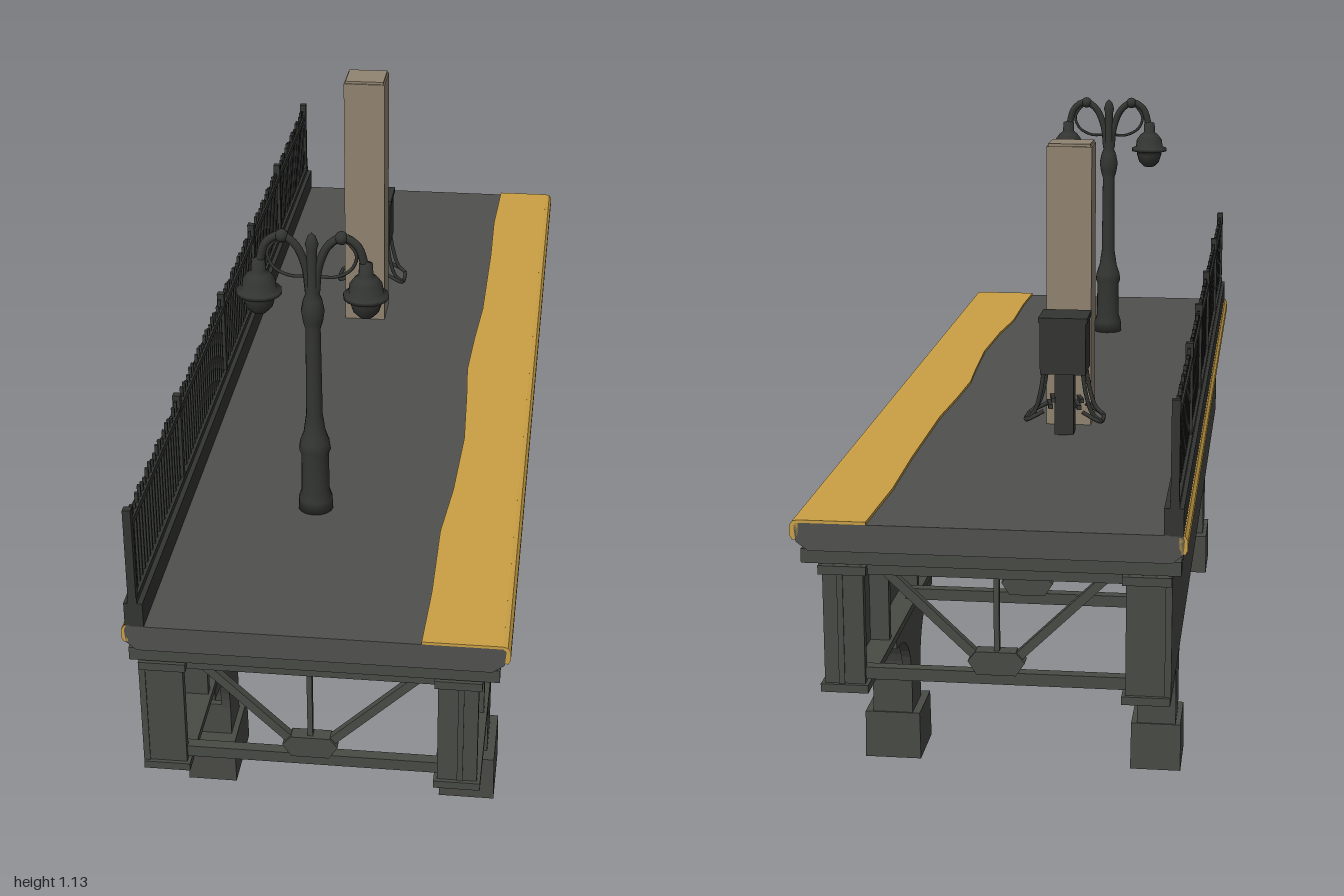
import * as THREE from 'three';

const mat = (name, color) => Object.assign(new THREE.MeshStandardMaterial({ color }), { name });
const V = (x, y, z) => new THREE.Vector3(x, y, z);

export function createModel() {
  const model = new THREE.Group();
  model.name = 'elevatedPlatform';
  const deckGrey = mat('deck grey', 0x50504e);
  const steel = mat('steel', 0x484a44);
  const iron = mat('dark iron', 0x333532);
  const yellow = mat('edge yellow', 0xcba045);
  const stone = mat('tan stone', 0x918471);

  const group = (name, parent = model) => {
    const g = new THREE.Group();
    g.name = name;
    parent.add(g);
    return g;
  };
  const add = (parent, name, geo, m) => {
    const mesh = new THREE.Mesh(geo, m);
    mesh.name = name;
    parent.add(mesh);
    return mesh;
  };
  // box from its minimum and maximum on each axis
  const box = (parent, name, m, x0, x1, y0, y1, z0, z1) => {
    const mesh = add(parent, name, new THREE.BoxGeometry(x1 - x0, y1 - y0, z1 - z0), m);
    mesh.position.set((x0 + x1) / 2, (y0 + y1) / 2, (z0 + z1) / 2);
    return mesh;
  };
  const extrude = (shape, depth) => new THREE.ExtrudeGeometry(shape, { depth, bevelEnabled: false, curveSegments: 10 });
  const poly = pts => new THREE.Shape(pts.map(p => new THREE.Vector2(...p)));
  const tube = (parent, name, pts, r, m, seg = 14) =>
    add(parent, name, new THREE.TubeGeometry(new THREE.CatmullRomCurve3(pts), seg, r, 8), m);
  // square bar between two points
  const bar = (parent, name, a, b, w, m) => {
    const mesh = add(parent, name, new THREE.BoxGeometry(w, w, a.distanceTo(b)), m);
    mesh.position.copy(a).add(b).multiplyScalar(0.5);
    mesh.lookAt(b);
    return mesh;
  };
  // shape drawn in z and y, given a thickness along x
  const sidePlate = (parent, name, shape, x0, x1, m) => {
    const geo = extrude(shape, x1 - x0).rotateY(-Math.PI / 2).translate(x1, 0, 0);
    return add(parent, name, geo, m);
  };

  // Deck slab with softened edges
  const deck = group('deck');
  add(deck, 'slab', extrude(poly([[-0.3, 0.53], [0.295, 0.53], [0.315, 0.545], [0.318, 0.572], [0.312, 0.577],
    [-0.316, 0.577], [-0.32, 0.57], [-0.318, 0.545]]), 2).translate(0, 0, -1), deckGrey);

  // Worn yellow warning strip with an uneven inner edge
  const inner = [[1, 0.178], [0.85, 0.182], [0.65, 0.18], [0.5, 0.192], [0.3, 0.198], [0.12, 0.19], [0, 0.183],
    [-0.15, 0.188], [-0.3, 0.196], [-0.6, 0.196], [-0.8, 0.192], [-1, 0.198]];
  const strip = poly([[0.312, -1], [0.312, 1], ...inner.map(([z, x]) => [x, -z]).reverse()]);
  add(deck, 'warningStrip', extrude(strip, 0.006).rotateX(-Math.PI / 2).translate(0, 0.576, 0), yellow);
  const nose = [[0.311, 0.582], [0.311, 0.56], [0.315, 0.549], [0.321, 0.548], [0.325, 0.556], [0.325, 0.572], [0.32, 0.58]];
  add(deck, 'rightNosing', extrude(poly(nose), 2).translate(0, 0, -1), yellow);
  add(deck, 'leftNosing', extrude(poly(nose.map(([x, y]) => [-x, y - 0.003])), 2).translate(0, 0, -1), yellow);

  // Cross joists whose shaped ends carry the deck
  const joists = group('joists');
  for (let i = 0; i < 15; i++) {
    const z = -0.945 + i * 0.135;
    add(joists, 'joist', extrude(poly([[-0.29, 0.502], [0.28, 0.502], [0.305, 0.512], [0.309, 0.536],
      [-0.317, 0.536], [-0.314, 0.512]]), 0.044).translate(0, 0, z - 0.022), steel);
  }
  for (const s of [-1, 1])
    box(joists, 'endJoist', steel, -0.315, 0.308, 0.508, 0.532, s * 0.985 - 0.012, s * 0.985 + 0.012);

  // Plate girders: plain outer wall on the left, stiffened wall on the right
  const stations = [-0.985, -0.78, -0.51, -0.26, 0, 0.26, 0.51, 0.79, 0.985];
  const girder = (name, x0, x1, w0, w1) => {
    const g = group(name);
    box(g, 'web', steel, w0, w1, 0.29, 0.5, -0.995, 0.995);
    box(g, 'bottomFlange', steel, x0, x1, 0.285, 0.299, -1, 1);
    box(g, 'topFlange', steel, x0, x1, 0.49, 0.505, -1, 1);
    for (const z of stations) box(g, 'stiffener', steel, x0 + 0.006, x1 - 0.006, 0.295, 0.495, z - 0.008, z + 0.008);
    return g;
  };
  girder('leftGirder', -0.3, -0.22, -0.301, -0.29);
  const right = girder('rightGirder', 0.2, 0.28, 0.24, 0.25);
  for (const s of [-1, 1]) {
    bar(right, 'diagonal', V(0.256, 0.31, s * 0.015), V(0.256, 0.485, s * 0.245), 0.014, steel);
    box(right, 'panelRail', steel, 0.25, 0.258, 0.475, 0.49, s > 0 ? 0.02 : -0.98, s > 0 ? 0.98 : -0.02);
  }

  // Cross frames between the girders
  for (const z of [-0.975, -0.58, 0, 0.59, 0.975]) {
    const f = group('crossFrame');
    box(f, 'bottomChord', steel, -0.235, 0.215, 0.305, 0.326, z - 0.01, z + 0.01);
    box(f, 'topChord', steel, -0.235, 0.215, 0.488, 0.506, z - 0.01, z + 0.01);
    box(f, 'hanger', steel, -0.017, -0.008, 0.34, 0.5, z - 0.006, z + 0.006);
    bar(f, 'brace', V(-0.2, 0.502, z), V(-0.04, 0.345, z), 0.015, steel);
    bar(f, 'brace', V(0.18, 0.502, z), V(0.015, 0.345, z), 0.015, steel);
    add(f, 'gusset', extrude(poly([[-0.045, 0.322], [0.02, 0.322], [0.035, 0.345], [0.022, 0.362],
      [-0.045, 0.362], [-0.06, 0.345]]), 0.026).translate(0, 0, z - 0.013), steel);
  }

  // Columns with curved haunches and block footings
  const haunch = (w, top) => {
    const s = new THREE.Shape();
    s.moveTo(-w, 0.08);
    s.lineTo(w, 0.08);
    s.lineTo(w, 0.15);
    s.bezierCurveTo(w + 0.004, 0.22, w + 0.04, 0.262, top, 0.268);
    s.lineTo(top, 0.288);
    s.lineTo(-top, 0.288);
    s.lineTo(-top, 0.268);
    s.bezierCurveTo(-w - 0.04, 0.262, -w - 0.004, 0.22, -w, 0.15);
    return s;
  };
  for (const [x0, x1, f0, f1] of [[-0.29, -0.219, -0.3, -0.207], [0.201, 0.275, 0.186, 0.291]])
    for (const [z, d] of [[0.593, 0.072], [-0.56, 0.057]]) {
      const c = group('column');
      const cz = z > 0 ? z : z - 0.01;
      for (const [a, b] of [[x0, x0 + 0.017], [x1 - 0.017, x1]])
        sidePlate(c, 'flange', haunch(0.043, 0.18), a, b, steel).position.z = cz;
      sidePlate(c, 'core', haunch(0.03, 0.168), x0 + 0.01, x1 - 0.01, steel).position.z = cz;
      box(c, 'lowerCasing', steel, x0, x1, 0.08, 0.157, cz - 0.043, cz + 0.043);
      const foot = add(c, 'footing', new THREE.CylinderGeometry(0.69, Math.SQRT1_2, 1, 4, 1).rotateY(Math.PI / 4), steel);
      foot.geometry = foot.geometry.toNonIndexed();
      foot.geometry.computeVertexNormals();
      foot.scale.set(f1 - f0, 0.09, d * 2);
      foot.position.set((f0 + f1) / 2, 0.045, z);
    }

  // Railing along the left edge
  const railing = group('railing');
  box(railing, 'curb', iron, -0.318, -0.286, 0.575, 0.622, -1, 1);
  box(railing, 'lowerRail', iron, -0.311, -0.295, 0.622, 0.633, -1, 1);
  box(railing, 'upperRail', iron, -0.309, -0.297, 0.762, 0.774, -1, 1);
  for (let i = 0; i < 100; i++) {
    const z = -0.985 + i * 0.0199;
    const top = 0.782 + 0.012 * Math.abs(Math.sin(i * 2.3));
    box(railing, 'picket', iron, -0.306, -0.3, 0.62, top, z - 0.003, z + 0.003);
  }
  for (const z of [-0.993, -0.57, -0.21, 0.15, 0.59, 0.993])
    box(railing, 'post', iron, -0.31, -0.296, 0.575, 0.8, z - 0.007, z + 0.007);

  // Tan pillar
  const pillar = group('pillar');
  box(pillar, 'shaft', stone, -0.102, -0.016, 0.575, 1.115, -0.316, -0.232);
  box(pillar, 'cap', stone, -0.099, -0.019, 1.115, 1.12, -0.313, -0.235);

  // Bin on splayed legs behind the pillar
  const bin = group('bin');
  bin.position.set(-0.06, 0, -0.39);
  box(bin, 'body', iron, -0.043, 0.043, 0.702, 0.808, -0.041, 0.041);
  box(bin, 'lid', iron, -0.046, 0.046, 0.8, 0.81, -0.043, 0.043);
  box(bin, 'neck', iron, -0.018, 0.018, 0.58, 0.705, -0.018, 0.018);
  for (const sx of [-1, 1]) {
    for (const sz of [-1, 1])
      tube(bin, 'leg', [V(sx * 0.036, 0.71, sz * 0.03), V(sx * 0.044, 0.66, sz * 0.032),
        V(sx * 0.056, 0.625, sz * 0.03), V(sx * 0.073, 0.61, sz * 0.026)], 0.004, iron);
    tube(bin, 'footLoop', [V(sx * 0.036, 0.63, -0.034), V(sx * 0.068, 0.612, -0.032), V(sx * 0.073, 0.61, 0),
      V(sx * 0.068, 0.612, 0.032), V(sx * 0.036, 0.63, 0.034)], 0.004, iron);
    for (const sz of [-1, 1])
      bar(bin, 'strut', V(sx * 0.03, 0.705, sz * 0.028), V(sx * 0.022, 0.578, sz * 0.022), 0.008, iron);
  }

  // Twin-arm lamp post
  const lamp = group('lampPost');
  lamp.position.set(-0.055, 0, 0.58);
  const lathe = (parent, name, pts, m, n = 16) =>
    add(parent, name, new THREE.LatheGeometry(pts.map(p => new THREE.Vector2(...p)), n), m);
  lathe(lamp, 'post', [[0, 0.575], [0.032, 0.575], [0.031, 0.6], [0.026, 0.615], [0.025, 0.69], [0.029, 0.7], [0.027, 0.715],
    [0.02, 0.735], [0.018, 0.75], [0.015, 0.77], [0.0135, 0.94], [0.018, 0.955], [0.021, 0.975], [0.017, 0.995], [0.011, 1.01],
    [0.009, 1.09], [0.012, 1.1], [0.007, 1.115], [0, 1.122]], iron);
  for (const s of [-1, 1]) {
    tube(lamp, 'arm', [V(s * 0.006, 1.01, 0), V(s * 0.012, 1.06, 0), V(s * 0.03, 1.1, 0), V(s * 0.055, 1.115, 0),
      V(s * 0.08, 1.1, 0), V(s * 0.093, 1.06, 0)], 0.0075, iron, 24);
    tube(lamp, 'scroll', [V(s * 0.01, 1.04, 0), V(s * 0.04, 1.04, 0), V(s * 0.068, 1.055, 0), V(s * 0.078, 1.08, 0),
      V(s * 0.068, 1.1, 0), V(s * 0.05, 1.115, 0)], 0.003, iron, 20);
    const knob = add(lamp, 'armKnob', new THREE.SphereGeometry(0.012, 10, 8), iron);
    knob.position.set(s * 0.052, 1.114, 0);
    const lantern = lathe(lamp, 'lantern', [[0, 0.966], [0.012, 0.968], [0.023, 0.979], [0.028, 0.995], [0.029, 1.003],
      [0.04, 1.004], [0.04, 1.011], [0.031, 1.014], [0.029, 1.03], [0.02, 1.042], [0.013, 1.047], [0.012, 1.068], [0, 1.072]], iron);
    lantern.position.x = s * 0.094;
  }
  return model;
}
